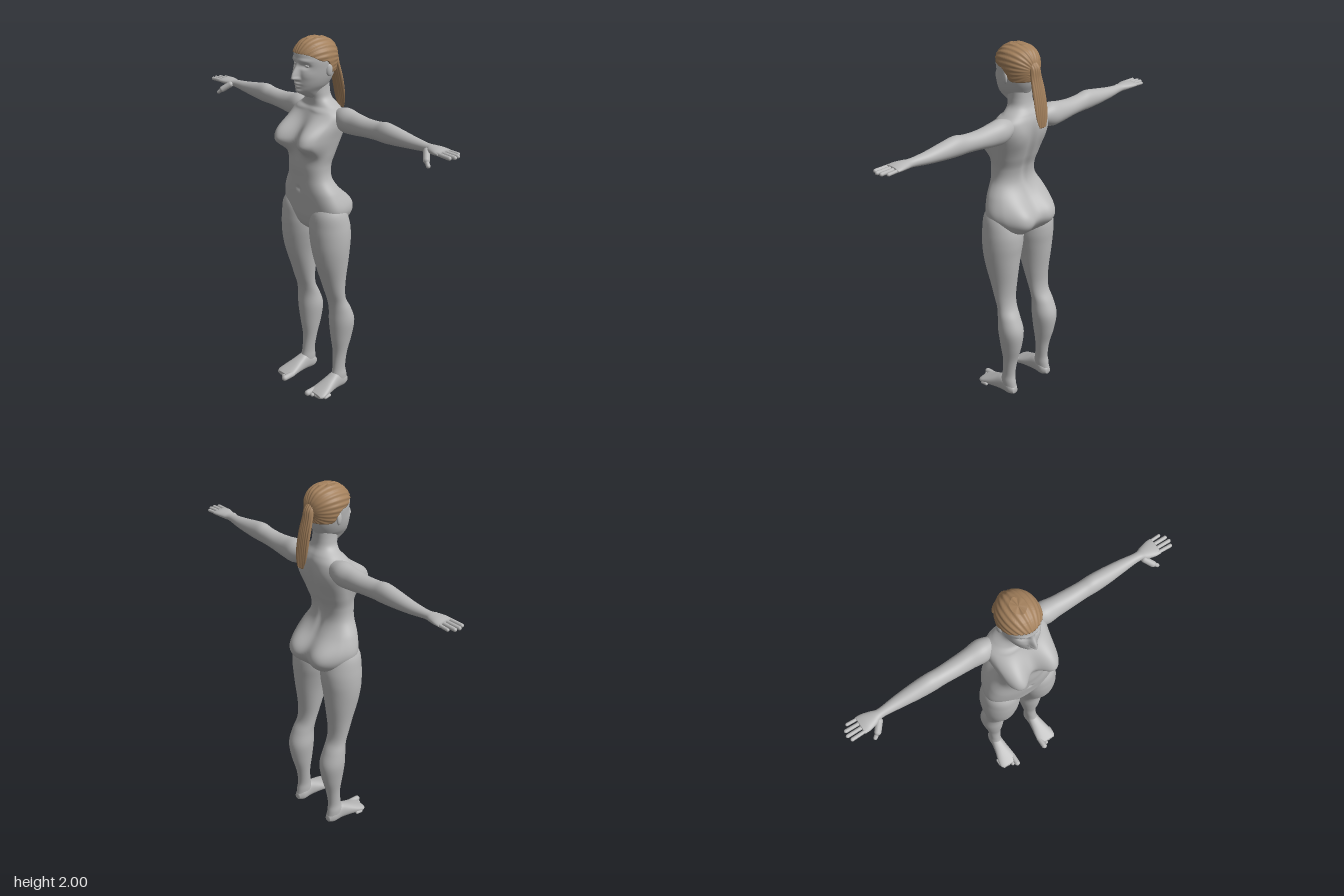
import * as THREE from 'three';

const skin = new THREE.MeshStandardMaterial({ color: 0xb8b8b8 });
skin.name = 'grey skin';
const hairMat = new THREE.MeshStandardMaterial({ color: 0xa3805c });
hairMat.name = 'brown hair';

const smooth = THREE.MathUtils.smoothstep;

// Grid surface, closed around u; faces are turned outward automatically
function surface(nu, nv, fn) {
  const pos = [], idx = [], mid = new THREE.Vector3();
  for (let j = 0; j <= nv; j++) for (let i = 0; i < nu; i++) {
    const p = fn(i / nu, j / nv);
    pos.push(...p);
    mid.add(new THREE.Vector3(...p));
  }
  mid.divideScalar(nu * (nv + 1));
  for (let j = 0; j < nv; j++) for (let i = 0; i < nu; i++) {
    const k = (i + 1) % nu, a = j * nu + i, b = j * nu + k, c = a + nu, d = b + nu;
    idx.push(a, b, d, a, d, c);
  }
  const at = (i) => new THREE.Vector3(pos[i * 3], pos[i * 3 + 1], pos[i * 3 + 2]).sub(mid);
  let volume = 0;
  for (let i = 0; i < idx.length; i += 3) volume += at(idx[i]).dot(at(idx[i + 1]).cross(at(idx[i + 2])));
  if (volume < 0) idx.reverse();
  const g = new THREE.BufferGeometry();
  g.setAttribute('position', new THREE.Float32BufferAttribute(pos, 3));
  g.setIndex(idx);
  g.computeVertexNormals();
  return g;
}

// Smooth row between the given cross-sections
function sample(rows, v) {
  const n = rows.length - 1, f = Math.min(v * n, n - 1e-6), i = Math.floor(f), t = f - i;
  const r = (k) => rows[Math.max(0, Math.min(n, k))];
  return rows[0].map((_, c) => {
    const p0 = r(i - 1)[c], p1 = r(i)[c], p2 = r(i + 1)[c], p3 = r(i + 2)[c];
    return p1 + 0.5 * t * (p2 - p0 + t * (2 * p0 - 5 * p1 + 4 * p2 - p3 + t * (3 * (p1 - p2) + p3 - p0)));
  });
}

// Loft through rows [t, a0, a1, b0, b1] of oval sections, closed at both ends
function loft(rows, place, nu = 40, nv = 60, e = 1) {
  const bend = (x) => Math.sign(x) * Math.abs(x) ** e;
  return surface(nu, nv, (u, v) => {
    const [t, a0, a1, b0, b1] = sample(rows, Math.max(0, Math.min(1, (v * nv - 1) / (nv - 2))));
    const end = v === 0 || v === 1 ? 0.001 : 1;
    const c = Math.cos(u * Math.PI * 2), s = Math.sin(u * Math.PI * 2);
    return place(t, (a0 + a1) / 2 + bend(c) * end * (a1 - a0) / 2, (b0 + b1) / 2 + bend(s) * end * (b1 - b0) / 2, s);
  });
}

// Soft swellings and hollows: [x, y, depth, radiusX, radiusUp, radiusDown, side, sideways push]
function sculpt(bumps) {
  return (y, x, z, facing) => {
    let dz = 0, dx = 0;
    for (const [bx, by, depth, rx, up, down, side, push = 0] of bumps) {
      for (const m of bx ? [1, -1] : [1]) {
        const d = Math.hypot((x - m * bx) / rx, (y - by) / (y > by ? up : down));
        const h = depth * Math.exp(-(d ** 2.5)) * Math.max(0, Math.min(1, side * facing * 2));
        dz += side * h;
        dx += m * push * h;
      }
    }
    return [x + dx, y, z + dz];
  };
}

// Symmetric rows [y, halfWidth, back, front]
const even = (rows) => rows.map(([y, w, b, f]) => [y, -w, w, b, f]);

const torsoRows = even([
  [0.96, 0.03, -0.04, 0.03], [1.0, 0.12, -0.085, 0.08], [1.06, 0.185, -0.1, 0.102], [1.12, 0.205, -0.095, 0.11],
  [1.2, 0.18, -0.07, 0.12], [1.28, 0.135, -0.045, 0.125], [1.35, 0.128, -0.05, 0.13], [1.42, 0.14, -0.075, 0.122],
  [1.5, 0.155, -0.1, 0.095], [1.57, 0.168, -0.112, 0.078], [1.62, 0.16, -0.112, 0.06], [1.655, 0.115, -0.1, 0.042],
  [1.69, 0.073, -0.08, 0.042], [1.73, 0.062, -0.072, 0.05], [1.8, 0.06, -0.07, 0.055],
]);
const torsoBumps = [
  [0.092, 1.495, 0.108, 0.074, 0.09, 0.066, 1, 0.12], // breasts
  [0.092, 1.09, 0.078, 0.088, 0.1, 0.09, -1], // buttocks
  [0, 1.38, -0.014, 0.022, 0.2, 0.16, -1], // spine
  [0, 1.215, -0.012, 0.012, 0.016, 0.012, 1], // navel
  [0.09, 1.55, 0.01, 0.05, 0.06, 0.07, -1], // shoulder blades
  [0.075, 1.64, 0.006, 0.06, 0.01, 0.012, 1], // collarbones
];

const headRows = even([
  [1.7, 0.035, -0.05, 0.06], [1.735, 0.05, -0.055, 0.115], [1.77, 0.072, -0.075, 0.125], [1.81, 0.087, -0.095, 0.127],
  [1.86, 0.097, -0.108, 0.122], [1.9, 0.1, -0.112, 0.122], [1.94, 0.093, -0.104, 0.113], [1.975, 0.068, -0.077, 0.082],
  [1.993, 0.03, -0.035, 0.045],
]);
const headBumps = [
  [0, 1.812, 0.034, 0.015, 0.055, 0.012, 1], // nose
  [0.014, 1.808, 0.008, 0.009, 0.01, 0.008, 1], // nostril wings
  [0, 1.782, 0.008, 0.022, 0.008, 0.007, 1], // upper lip
  [0, 1.767, 0.008, 0.018, 0.007, 0.008, 1], // lower lip
  [0, 1.74, 0.008, 0.022, 0.014, 0.014, 1], // chin
  [0.04, 1.872, -0.013, 0.023, 0.014, 0.014, 1], // eye sockets
  [0.04, 1.9, 0.005, 0.03, 0.01, 0.01, 1], // brows
  [0.055, 1.83, 0.004, 0.025, 0.02, 0.025, 1], // cheeks
];

// Leg rows [y, inner, outer, back, front]
const legRows = [
  [1.17, 0.07, 0.165, -0.03, 0.05], [1.1, 0.02, 0.208, -0.08, 0.1], [1.02, 0.005, 0.222, -0.108, 0.112],
  [0.95, 0.008, 0.226, -0.112, 0.112], [0.88, 0.02, 0.223, -0.105, 0.105], [0.8, 0.035, 0.213, -0.097, 0.088],
  [0.7, 0.05, 0.198, -0.085, 0.055], [0.62, 0.062, 0.19, -0.08, 0.028], [0.56, 0.068, 0.187, -0.09, 0.008],
  [0.5, 0.07, 0.195, -0.122, 0], [0.42, 0.065, 0.2, -0.15, -0.002], [0.32, 0.076, 0.186, -0.138, -0.012],
  [0.22, 0.09, 0.17, -0.11, -0.026], [0.13, 0.1, 0.165, -0.098, -0.02], [0.08, 0.1, 0.17, -0.105, -0.01],
  [0.03, 0.102, 0.168, -0.112, 0],
];
// Foot rows [z, inner, outer, bottom, top]
const footRows = [
  [-0.112, 0.118, 0.152, 0.012, 0.045], [-0.08, 0.1, 0.168, 0, 0.08], [-0.03, 0.1, 0.172, 0, 0.1],
  [0.02, 0.095, 0.182, 0, 0.08], [0.07, 0.088, 0.195, 0, 0.055], [0.11, 0.085, 0.2, 0, 0.036], [0.13, 0.092, 0.188, 0.004, 0.026],
];
// Arm rows [x, bottom, top, back, front]
const armRows = [
  [0.09, 1.575, 1.635, -0.08, -0.02], [0.17, 1.535, 1.66, -0.107, 0.008], [0.25, 1.535, 1.65, -0.1, 0.002],
  [0.33, 1.545, 1.642, -0.095, 0], [0.41, 1.55, 1.645, -0.09, -0.002], [0.47, 1.55, 1.654, -0.09, 0],
  [0.55, 1.556, 1.643, -0.088, -0.004], [0.65, 1.566, 1.628, -0.08, -0.014], [0.74, 1.577, 1.62, -0.068, -0.02],
  [0.78, 1.58, 1.621, -0.078, -0.006], [0.82, 1.584, 1.62, -0.088, 0.005], [0.852, 1.588, 1.614, -0.09, 0.006],
];

export function createModel() {
  const model = new THREE.Group();
  model.name = 'figure';
  const add = (name, geometry, material = skin, parent = model) => {
    const mesh = new THREE.Mesh(geometry, material);
    mesh.name = name;
    parent.add(mesh);
    return mesh;
  };
  const ball = (name, x, y, z, rx, ry, rz) => {
    const mesh = add(name, new THREE.SphereGeometry(1, 20, 14));
    mesh.position.set(x, y, z);
    mesh.scale.set(rx, ry, rz);
    return mesh;
  };
  // Rounded segment between two points
  const digit = (name, from, to, r) => {
    const p = new THREE.Vector3(...from), q = new THREE.Vector3(...to), dir = q.clone().sub(p);
    const mesh = add(name, new THREE.CapsuleGeometry(r, dir.length(), 6, 12));
    mesh.position.copy(p).add(q).multiplyScalar(0.5);
    mesh.quaternion.setFromUnitVectors(new THREE.Vector3(0, 1, 0), dir.normalize());
    return mesh;
  };

  add('torso', loft(torsoRows, sculpt(torsoBumps), 112, 150, 0.9));
  add('head', loft(headRows, sculpt(headBumps), 128, 130));

  for (const [side, s] of [['left', 1], ['right', -1]]) {
    add(side + 'Leg', loft(legRows, (t, a, b) => [s * a, t, b], 40, 80));
    add(side + 'Foot', loft(footRows, (t, a, b) => [s * a, b, t], 32, 32, 0.85));
    add(side + 'Arm', loft(armRows, (t, a, b) => [s * t, a, b], 36, 70));
    ball(side + 'Eye', s * 0.04, 1.872, 0.091, 0.017, 0.009, 0.013);
    ball(side + 'Ear', s * 0.098, 1.848, -0.004, 0.01, 0.032, 0.018).rotation.y = -s * 0.3;

    // Toes, from big to small
    for (let i = 0; i < 5; i++) {
      const r = i ? 0.0125 - i * 0.0007 : 0.017, x = i ? 0.104 + i * 0.0225 : 0.102;
      digit(side + 'Toe' + (i + 1), [s * x, r + 0.004, 0.09 - i * 0.006], [s * x, r, 0.148 - i * 0.013], r);
    }
    // Fingers and thumb
    [0.925, 0.935, 0.93, 0.91].forEach((tip, i) => {
      const z = -0.004 - i * 0.0255;
      digit(side + 'Finger' + (i + 1), [s * 0.83, 1.602, z * 0.92 - 0.003], [s * (tip - 0.01), 1.6, z], 0.0098 - (i === 3 ? 0.0015 : 0));
    });
    digit(side + 'ThumbBase', [s * 0.765, 1.593, -0.015], [s * 0.797, 1.565, 0.018], 0.017);
    digit(side + 'Thumb', [s * 0.797, 1.565, 0.018], [s * 0.82, 1.545, 0.03], 0.0105);
  }

  // Hair cap: follows the skull from the hairline up, with strands combed to the back
  const skull = Array.from({ length: 400 }, (_, i) => sample(headRows, i / 399));
  add('hairCap', surface(160, 48, (u, v) => {
    const c = Math.cos(u * Math.PI * 2), s = Math.sin(u * Math.PI * 2);
    const low = 1.825 + 0.07 * smooth(s, -0.45, 0.1) + 0.035 * smooth(s, 0.2, 0.95);
    const y = low + (1.993 - low) * Math.sin(v * Math.PI / 2);
    const [, , w, b, f] = skull.find((r) => r[0] >= y) || skull[399];
    const x = c * w, ridge = Math.cos(Math.atan2(x, y - 1.88) * 26);
    const off = v === 0 ? -0.004 : 0.006 + 0.0016 * ridge, end = v === 1 ? 0 : 1;
    return [end * c * (w + off), y + off * v, (b + f) / 2 + end * s * ((f - b) / 2 + off)];
  }), hairMat);

  // Ponytail: flat hanging bundle with strand ridges
  const tailRows = even([
    [1.93, 0.018, -0.112, -0.085], [1.9, 0.03, -0.134, -0.09], [1.85, 0.036, -0.142, -0.108], [1.78, 0.042, -0.158, -0.13],
    [1.71, 0.043, -0.17, -0.148], [1.65, 0.037, -0.176, -0.161], [1.605, 0.022, -0.178, -0.17],
  ]);
  add('ponytail', loft(tailRows, (t, a, b, s) => [a, t, b + s * 0.002 * Math.cos(a * 520)], 96, 40), hairMat);

  return model;
}
